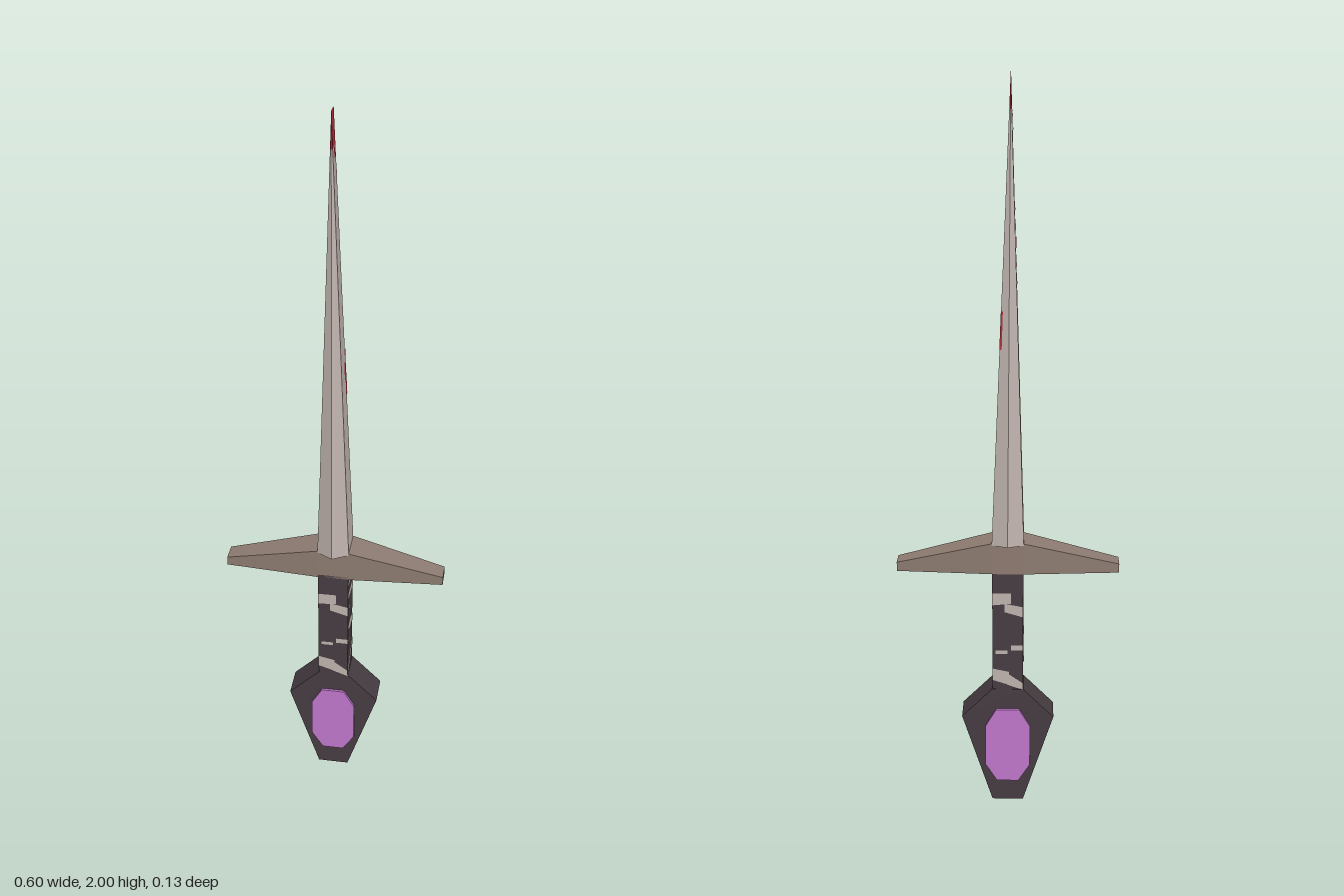
import * as THREE from 'three';

const mat = (name, color) => Object.assign(new THREE.MeshStandardMaterial({ color, flatShading: true }), { name });

// Point on a tapering tube: a runs round the ring of corners, y is the height.
function skinPoint(tube, a, y) {
  const n = tube.bottom.length, i = Math.floor(a) % n, j = (i + 1) % n, f = a - Math.floor(a);
  const t = (y - tube.y0) / (tube.y1 - tube.y0), lerp = THREE.MathUtils.lerp;
  const at = (k, c) => lerp(tube.bottom[k][c], tube.top[k][c], t);
  return new THREE.Vector3(lerp(at(i, 0), at(j, 0), f), y, lerp(at(i, 1), at(j, 1), f));
}

// Four-sided patches [a0, a1, low0, high0, low1, high1] lying on the tube, lifted by off.
function patches(tube, list, off) {
  const pos = [];
  for (const [a0, a1, l0, h0, l1 = l0, h1 = h0] of list) {
    const i = Math.floor(a0), e = 0.001;
    const p = skinPoint(tube, i, tube.y0), q = skinPoint(tube, i + 1 - e, tube.y0);
    const lift = new THREE.Vector3(p.z - q.z, 0, q.x - p.x).normalize().multiplyScalar(off);
    lift.set(-lift.x * -1, 0, lift.z * -1);
    // outward is the direction of travel turned to the right
    lift.set(-(q.z - p.z), 0, q.x - p.x).normalize().multiplyScalar(off);
    const c = [[a0, l0], [a1, l1], [a1, h1], [a0, h0]].map(([a, y]) => {
      const end = a === i + 1 ? a - 1e-6 : a;
      return skinPoint(tube, end, y).add(lift);
    });
    for (const k of [0, 1, 2, 0, 2, 3]) pos.push(c[k].x, c[k].y, c[k].z);
  }
  const g = new THREE.BufferGeometry();
  g.setAttribute('position', new THREE.Float32BufferAttribute(pos, 3));
  g.computeVertexNormals();
  return g;
}

// Prism from a front outline, between two z values
function prism(points, z0, z1) {
  const shape = new THREE.Shape(points.map(([x, y]) => new THREE.Vector2(x, y)));
  return new THREE.ExtrudeGeometry(shape, { depth: z1 - z0, bevelEnabled: false }).translate(0, 0, z0);
}

export function createModel() {
  const model = new THREE.Group();
  model.name = 'dagger';
  const steel = mat('steel', 0xc0b4af), bronze = mat('bronze', 0x8d7b71), dark = mat('darkLeather', 0x463c41);
  const wrap = mat('paleWrap', 0xc0b4ae), violet = mat('violetGem', 0xc077cc), red = mat('red', 0xb52f3a);
  const add = (name, geometry, material) => {
    const m = new THREE.Mesh(geometry, material);
    m.name = name;
    model.add(m);
  };

  // Blade: six-sided, closing to a short upright edge
  const tipFront = [-0.007, 0.014], tipBack = [-0.007, -0.022];
  const blade = {
    y0: 0.775, y1: 2,
    bottom: [[0, 0.062], [0.043, 0.038], [0.043, -0.048], [0, -0.064], [-0.043, -0.048], [-0.043, 0.038]],
    top: [tipFront, tipFront, tipBack, tipBack, tipBack, tipFront],
  };
  const band = (y0, y1) => blade.bottom.map((_, i) => [i, i + 1, y0, y1]);
  add('blade', patches(blade, band(0.775, 1.91), 0), steel);
  add('bladeTip', patches(blade, band(1.91, 2), 0), red);
  const base = new THREE.Shape(blade.bottom.map(([x, z]) => new THREE.Vector2(x, -z)));
  add('bladeBase', new THREE.ShapeGeometry(base).rotateX(Math.PI / 2).scale(1, 1, -1).translate(0, 0.775, 0),
    steel);
  model.children.at(-1).geometry.index.array.reverse(); // face downwards

  // Stains: [from, to, low, high] round the blade
  add('bladeStains', patches(blade, [
    [1.25, 1.6, 1.885, 1.91], [4.3, 4.6, 1.88, 1.91], [1.7, 1.85, 1.84, 1.855], [4.7, 4.9, 1.85, 1.91],
    [1.8, 2, 1.34, 1.37], [1.6, 1.95, 1.29, 1.34], [1.75, 2, 1.24, 1.3], [2, 2.25, 1.31, 1.41],
    [4, 4.45, 1.55, 1.63], [4, 4.25, 1.48, 1.55], [4.1, 4.35, 1.63, 1.67], [4.4, 4.8, 1.58, 1.6],
  ], 0.0015), red);

  // Guard: a box with three spans, thinned towards both ends
  const guard = new THREE.BoxGeometry(0.6, 1, 1, 3, 1, 1), p = guard.attributes.position;
  for (let i = 0; i < p.count; i++) {
    const x = p.getX(i), end = Math.abs(x) > 0.2;
    p.setXYZ(i, end ? x : Math.sign(x) * 0.043,
      p.getY(i) < 0 ? 0.692 : end ? 0.717 : 0.78,
      p.getZ(i) > 0 ? (end ? 0.02 : 0.038) : (end ? -0.03 : -0.048));
  }
  guard.computeVertexNormals();
  add('guard', guard, bronze);

  // Grip with uneven pale wrapping on its four sides
  const ring = [[-0.042, 0.038], [0.042, 0.038], [0.042, -0.046], [-0.042, -0.046]];
  const grip = { y0: 0.34, y1: 0.7, bottom: ring, top: ring };
  add('grip', new THREE.BoxGeometry(0.084, 0.36, 0.084).translate(0, 0.52, -0.004), dark);
  const frontWrap = [
    [0, 0.6, 0.6, 0.635, 0.605, 0.635], [0.4, 1, 0.58, 0.605, 0.565, 0.595], [0.1, 0.5, 0.455, 0.465],
    [0.6, 1, 0.465, 0.48], [0, 0.55, 0.375, 0.41, 0.36, 0.4], [0.5, 1, 0.36, 0.395, 0.345, 0.365],
  ];
  const sideWrap = [
    [0, 0.45, 0.665, 0.685], [0.5, 1, 0.655, 0.67], [0, 1, 0.62, 0.645, 0.61, 0.64], [0.1, 0.5, 0.575, 0.59],
    [0, 0.5, 0.51, 0.53, 0.495, 0.53], [0.5, 1, 0.495, 0.53, 0.49, 0.515], [0, 0.35, 0.46, 0.475],
    [0, 0.4, 0.35, 0.375, 0.365, 0.4], [0.4, 1, 0.37, 0.4, 0.4, 0.43],
  ];
  const shift = (list, s) => list.map(([a, b, ...ys]) => [a + s, b + s, ...ys]);
  add('gripWrap', patches(grip,
    [...frontWrap, ...shift(sideWrap, 1), ...shift(frontWrap, 2), ...shift(sideWrap, 3)], 0.0015), wrap);

  // Pommel and the gem set in each face
  add('pommel', prism([[-0.043, 0], [0.043, 0], [0.127, 0.262], [0.043, 0.347], [-0.043, 0.347], [-0.127, 0.262]],
    -0.048, 0.038), dark);
  const gem = [[-0.03, 0.064], [0.03, 0.064], [0.062, 0.115], [0.062, 0.235],
    [0.032, 0.287], [-0.032, 0.287], [-0.062, 0.235], [-0.062, 0.115]];
  add('gemFront', prism(gem, 0.037, 0.045), violet);
  add('gemBack', prism(gem, -0.056, -0.047), violet);
  return model;
}
